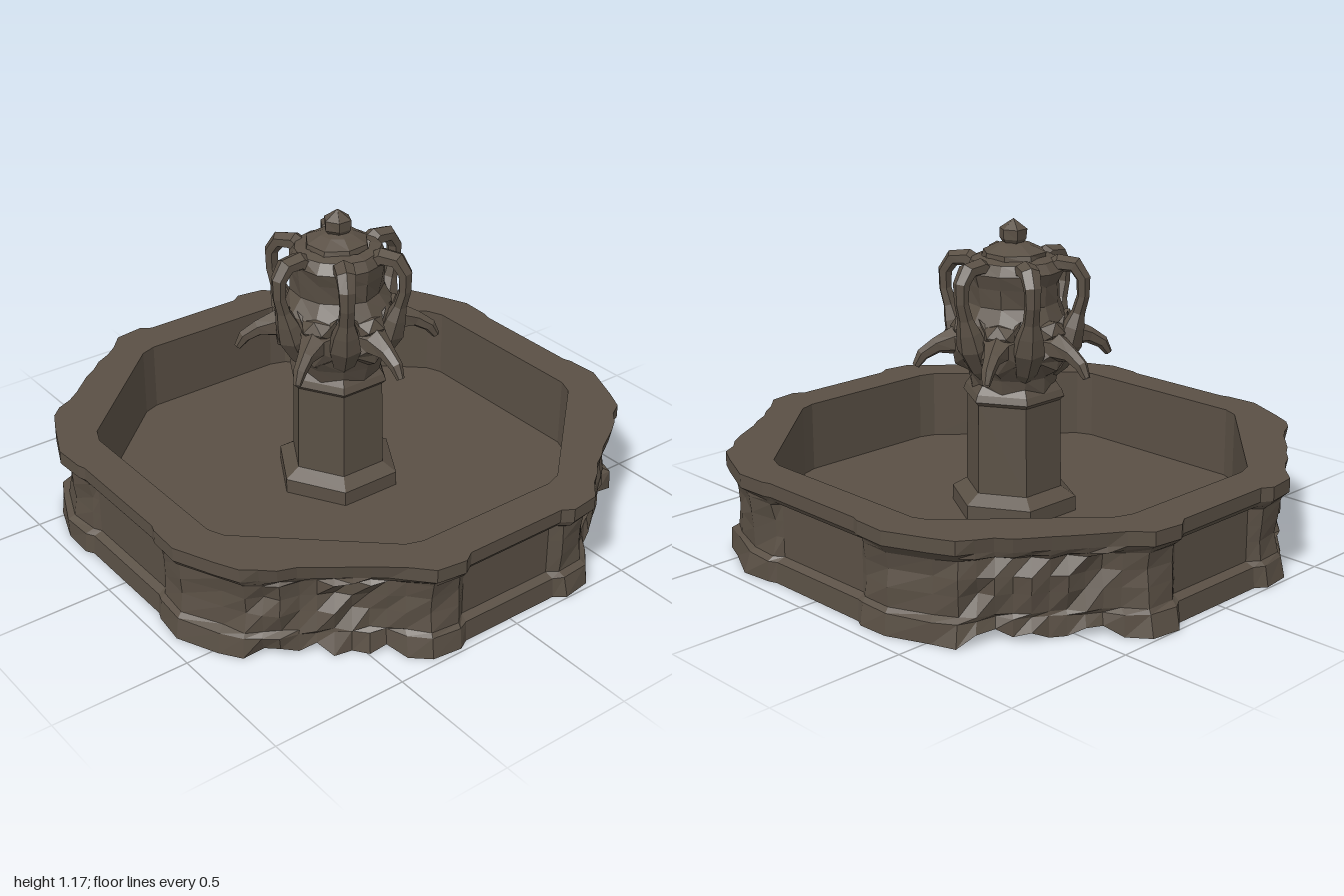
import * as THREE from 'three';

const stone = new THREE.MeshStandardMaterial({ color: 0x5a5045, flatShading: true, side: THREE.DoubleSide });
stone.name = 'weathered stone';

// Repeatable noise from a position, -1 to 1
function noise(x, y, z) {
  const q = (v) => Math.round(v * 1000) / 1000;
  const s = Math.sin(q(x) * 127.1 + q(y) * 311.7 + q(z) * 74.7) * 4375.85;
  return (s - Math.floor(s)) * 2 - 1;
}

function add(parent, name, geometry) {
  const mesh = new THREE.Mesh(geometry, stone);
  mesh.name = name;
  parent.add(mesh);
  return mesh;
}

// Skin between rings of [x, y, z] points
function loft(rings) {
  const n = rings[0].length, index = [];
  for (let r = 0; r < rings.length - 1; r++)
    for (let i = 0; i < n; i++) {
      const a = r * n + i, b = r * n + (i + 1) % n;
      index.push(a, b, b + n, a, b + n, a + n);
    }
  const g = new THREE.BufferGeometry();
  g.setAttribute('position', new THREE.Float32BufferAttribute(rings.flat(2), 3));
  g.setIndex(index);
  g.computeVertexNormals();
  return g;
}

// Tapered limb in the x-y plane; stations are [x, y, radius]
function limb(stations, sides, width = 1) {
  const rings = stations.map(([x, y, r], k) => {
    const p = stations[Math.max(k - 1, 0)], q = stations[Math.min(k + 1, stations.length - 1)];
    const len = Math.hypot(q[0] - p[0], q[1] - p[1]);
    const nx = -(q[1] - p[1]) / len, ny = (q[0] - p[0]) / len;
    return Array.from({ length: sides }, (_, i) => {
      const a = (i / sides) * Math.PI * 2;
      return [x + nx * r * Math.cos(a), y + ny * r * Math.cos(a), r * width * Math.sin(a)];
    });
  });
  return loft(rings);
}

function lathe(profile, sides, rough = 0) {
  const g = new THREE.LatheGeometry(profile.map(([r, y]) => new THREE.Vector2(r, y)), sides, Math.PI / 6);
  const p = g.attributes.position;
  for (let i = 0; i < p.count; i++) {
    const x = p.getX(i), y = p.getY(i), z = p.getZ(i), k = 1 + rough * noise(x, y, z);
    p.setXYZ(i, x * k, y, z * k);
  }
  g.computeVertexNormals();
  return g;
}

// Mirror one quarter of an outline around the centre
function fourWay(quarter) {
  const flip = (sx, sz) => quarter.map(([x, z, kind]) => [x * sx, z * sz, kind]);
  return [...flip(1, 1), ...flip(1, -1).reverse(), ...flip(-1, -1), ...flip(-1, 1).reverse()];
}

function flat(outline, y, hole) {
  const pts = (l) => l.map(([x, z]) => new THREE.Vector2(x, -z));
  const shape = new THREE.Shape(pts(outline));
  if (hole) shape.holes.push(new THREE.Path(pts(hole)));
  return new THREE.ShapeGeometry(shape).rotateX(-Math.PI / 2).translate(0, y, 0);
}

function makeBasin() {
  const basin = new THREE.Group();
  basin.name = 'basin';

  // Quarter outline: panel, corner post, rough diagonal, corner post, panel
  const quarter = [[0.2, 0.975, 'panel'], [0.24, 1, 'post'], [0.35, 0.985, 'post'], [0.41, 0.92, 'post']];
  for (let i = 1; i < 9; i++) quarter.push([0.41 + 0.44 * i / 9, 0.92 - 0.32 * i / 9, 'rough']);
  quarter.push([0.85, 0.6, 'post'], [0.89, 0.52, 'post'], [0.955, 0.37, 'post'], [0.95, 0.25, 'post'], [0.94, 0.22, 'panel']);
  const outline = fourWay(quarter).map(([x, z, kind]) => {
    const k = kind === 'rough' ? 1 + 0.01 * noise(x, 0, z) : 1;
    return [x * k, z * k, kind];
  });

  // Wall rows from the ground up: height and inset for each kind of stretch
  const rows = [
    { y: 0, panel: 0.01, post: 0.005, rough: 0.03 },
    { y: 0.075, panel: 0.015, post: 0.015, rough: 0.04 },
    { y: 0.09, panel: 0.045, post: 0.035, rough: 0.04 },
    { y: 0.16, panel: 0.045, post: 0.04, rough: 0.045 },
    { y: 0.22, panel: 0.045, post: 0.04, rough: 0.045 },
    { y: 0.28, panel: 0.045, post: 0.035, rough: 0.035 },
    { y: 0.295, panel: 0.015, post: 0.02, rough: 0.025 },
    { y: 0.315, panel: 0, post: 0, rough: 0.01 },
    { y: 0.365, panel: 0, post: 0, rough: 0 },
  ];
  add(basin, 'outerWall', loft(rows.map((row) => outline.map(([x, z, kind]) => {
    const carved = row.y < 0.3;
    const wear = !carved || kind === 'panel' ? 0 : kind === 'rough' ? 0.022 : 0.008;
    const k = 1 - row[kind] + wear * noise(x, row.y, z);
    const chip = row.y === 0 && kind === 'rough' ? 0.02 + 0.02 * noise(x, 1, z) : 0;
    return [x * k, row.y + chip, z * k];
  }))));

  // Rim, inner wall and floor share the inner outline
  const inner = fourWay([[0.28, 0.83], [0.34, 0.81], [0.78, 0.41], [0.805, 0.35]]);
  add(basin, 'rim', flat(outline, 0.365, inner));
  add(basin, 'innerWall', loft([0.365, 0.1].map((y) => inner.map(([x, z]) => [x, y, z]))));
  add(basin, 'floor', flat(inner, 0.1));
  return basin;
}

function makeUrn() {
  const urn = new THREE.Group();
  urn.name = 'centrepiece';

  // Six-sided pedestal
  add(urn, 'pedestal', lathe([
    [0.235, 0.1], [0.235, 0.155], [0.18, 0.19], [0.175, 0.52], [0.19, 0.535], [0.18, 0.56], [0.15, 0.6],
  ], 6));

  // Worn urn body, lid and finial
  add(urn, 'body', lathe([
    [0.15, 0.56], [0.165, 0.62], [0.2, 0.68], [0.215, 0.75], [0.195, 0.82], [0.165, 0.88],
    [0.165, 0.95], [0.18, 1.0], [0.155, 1.035], [0.11, 1.045],
  ], 12, 0.06));
  add(urn, 'lid', lathe([[0.12, 1.035], [0.115, 1.06], [0.06, 1.085], [0.03, 1.095]], 8, 0.06));
  add(urn, 'finial', lathe([[0.035, 1.085], [0.05, 1.105], [0.052, 1.14], [0.001, 1.175]], 6, 0.08));

  // Six scroll handles, with six spout heads between them
  const handleShape = limb([
    [0.12, 0.99, 0.035], [0.17, 1.025, 0.032], [0.225, 1.02, 0.03], [0.255, 0.975, 0.026], [0.255, 0.91, 0.023],
    [0.238, 0.85, 0.025], [0.222, 0.8, 0.04], [0.205, 0.74, 0.05], [0.17, 0.66, 0.035], [0.13, 0.61, 0.02],
  ], 6, 1.25);
  const spoutShape = limb([
    [0.11, 0.69, 0.08], [0.18, 0.735, 0.085], [0.225, 0.745, 0.05], [0.285, 0.73, 0.03],
    [0.335, 0.7, 0.024], [0.36, 0.66, 0.014],
  ], 6);
  const browShape = new THREE.IcosahedronGeometry(0.06, 0).scale(0.8, 0.85, 1.1);
  const earShape = new THREE.ConeGeometry(0.025, 0.08, 4);
  for (let i = 0; i < 6; i++) {
    const angle = i * Math.PI / 3;
    add(urn, 'handle', handleShape).rotation.y = angle;

    const head = new THREE.Group();
    head.name = 'spoutHead';
    head.rotation.y = angle + Math.PI / 6;
    add(head, 'spout', spoutShape);
    add(head, 'brow', browShape).position.set(0.185, 0.79, 0);
    for (const side of [-1, 1]) {
      const ear = add(head, 'ear', earShape);
      ear.position.set(0.18, 0.815, side * 0.055);
      ear.rotation.x = side * 0.6;
    }
    urn.add(head);
  }
  return urn;
}

export function createModel() {
  const fountain = new THREE.Group();
  fountain.name = 'fountain';
  fountain.add(makeBasin(), makeUrn());
  return fountain;
}
